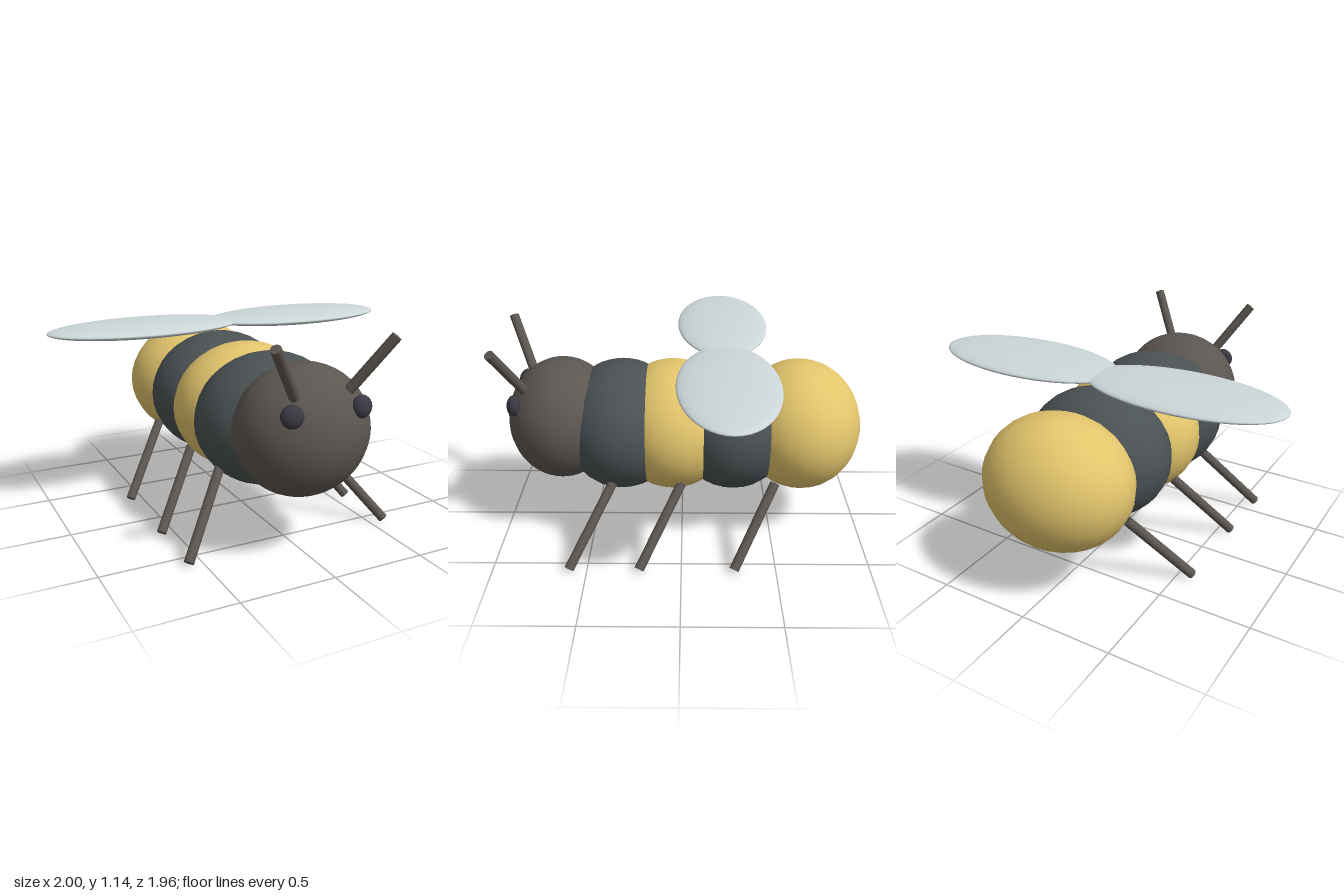
import * as THREE from 'three';

const material = (color) => new THREE.MeshStandardMaterial({ color });

export function createModel() {
  const model = new THREE.Group();
  const gold = material(0xe3c56c);
  const charcoal = material(0x4b5254);
  const brown = material(0x5c5651);
  const eyeDark = material(0x3a3a44);
  const pale = material(0xccd6d8);

  // Ellipsoid from centre and radii
  function ellipsoid(name, mat, center, radii, segments = 24) {
    const mesh = new THREE.Mesh(new THREE.SphereGeometry(1, segments, Math.round(segments * 0.75)), mat);
    mesh.name = name;
    mesh.position.set(...center);
    mesh.scale.set(...radii);
    model.add(mesh);
    return mesh;
  }

  // Straight round rod between two points
  function rod(name, mat, from, to, radius) {
    const a = new THREE.Vector3(...from);
    const b = new THREE.Vector3(...to);
    const dir = b.clone().sub(a);
    const mesh = new THREE.Mesh(new THREE.CylinderGeometry(radius, radius, dir.length(), 16), mat);
    mesh.name = name;
    mesh.position.copy(a).add(b).multiplyScalar(0.5);
    mesh.quaternion.setFromUnitVectors(new THREE.Vector3(0, 1, 0), dir.normalize());
    model.add(mesh);
  }

  // Striped body, front to back
  [0.33, 0.05, -0.28, -0.65].forEach((z, i) => {
    ellipsoid(`bodySegment${i + 1}`, i % 2 ? gold : charcoal, [0, 0.6, z], [0.403, 0.352, 0.335]);
  });

  ellipsoid('head', brown, [0, 0.635, 0.66], [0.35, 0.332, 0.297], 32);

  for (const s of [1, -1]) {
    const side = s > 0 ? 'left' : 'right';

    // Eye, flattened against the head
    const eye = ellipsoid(`${side}Eye`, eyeDark, [s * 0.187, 0.785, 0.888], [0.056, 0.056, 0.038], 20);
    eye.rotation.set(-0.15, s * 0.2, 0);

    rod(`${side}Antenna`, brown, [s * 0.147, 0.855, 0.835], [s * 0.313, 1.118, 0.955], 0.026);

    // Broad flat wing
    ellipsoid(`${side}Wing`, pale, [s * 0.462, 1.024, -0.23], [0.537, 0.039, 0.257], 48);

    // Three legs slanting outward and forward
    [0.37, 0, -0.5].forEach((z, i) => {
      rod(`${side}Leg${i + 1}`, brown, [s * 0.305, 0.385, z], [s * 0.575, 0.016, z + 0.222], 0.026);
    });
  }

  return model;
}
